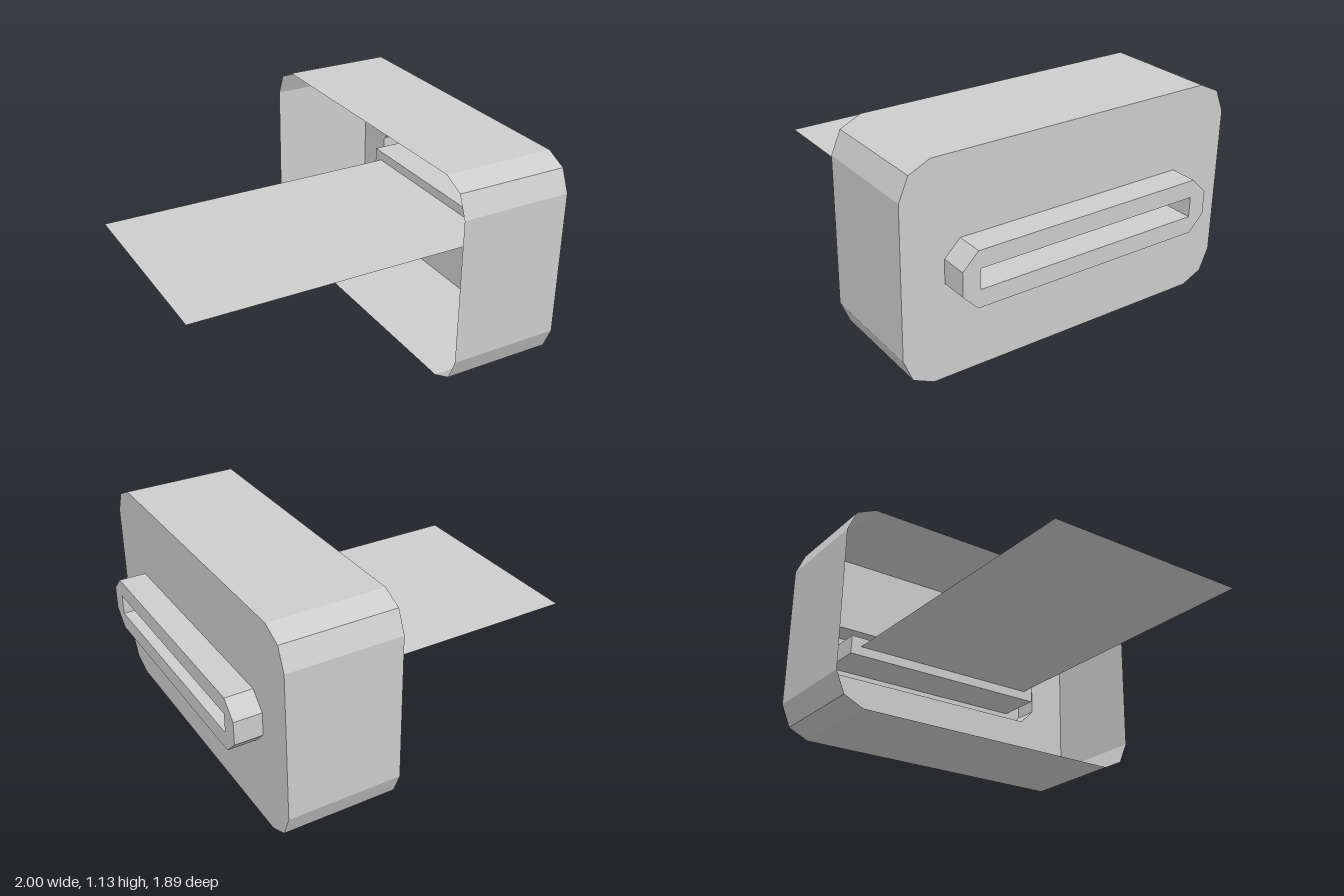
import * as THREE from 'three';

const MID = 0.565; // height of the centre line

// Symmetric outline (half width, half height), counter-clockwise, from the corner points of one quadrant
function outline(corner) {
  const rev = [...corner].reverse();
  return [
    ...corner,
    ...rev.map(([u, v]) => [-u, v]),
    ...corner.map(([u, v]) => [-u, -v]),
    ...rev.map(([u, v]) => [u, -v]),
  ].map(([u, v]) => new THREE.Vector2(u, v + MID));
}

// Band of flat walls following an outline from x0 to x1
function wallGeometry(loop, x0, x1) {
  const pos = [];
  loop.forEach((a, i) => {
    const b = loop[(i + 1) % loop.length];
    const p = [[a, x0], [b, x0], [b, x1], [a, x0], [b, x1], [a, x1]];
    for (const [q, x] of p) pos.push(q.x, q.y, x);
  });
  const g = new THREE.BufferGeometry();
  g.setAttribute('position', new THREE.Float32BufferAttribute(pos, 3));
  g.computeVertexNormals();
  return g.rotateY(Math.PI / 2);
}

// Flat face at x, with an optional hole
function faceGeometry(loop, x, hole) {
  const shape = new THREE.Shape(loop);
  if (hole) shape.holes.push(new THREE.Path([...hole].reverse()));
  return new THREE.ShapeGeometry(shape).translate(0, 0, x).rotateY(Math.PI / 2);
}

export function createModel() {
  const group = new THREE.Group();
  const grey = new THREE.MeshStandardMaterial({ color: 0xcccccc, side: THREE.DoubleSide, flatShading: true });
  grey.name = 'light grey';
  const add = (name, geometry) => {
    const mesh = new THREE.Mesh(geometry, grey);
    mesh.name = name;
    group.add(mesh);
  };

  const shell = outline([[0.945, 0.395], [0.895, 0.513], [0.785, 0.565]]);
  const collar = outline([[0.72, 0.062], [0.637, 0.145]]);
  const slot = outline([[0.625, 0.053]]);
  const back = 0.25, front = 0.855, tip = 1, recess = 0.738;

  // Housing, open at the back
  add('housingWalls', wallGeometry(shell, back, front));
  add('housingFace', faceGeometry(shell, front, collar));

  // Hollow raised collar
  add('collarWalls', wallGeometry(collar, front, tip));
  add('collarFace', faceGeometry(collar, tip, slot));

  // Slot sunk into the collar
  add('slotWalls', wallGeometry(slot, recess, tip));
  add('slotEnd', faceGeometry(slot, recess));

  // Thin sheet running out of the back
  const sheet = new THREE.PlaneGeometry(recess + 1, 1.13).rotateX(-Math.PI / 2);
  add('sheet', sheet.translate((recess - 1) / 2, MID, 0));

  return group;
}
